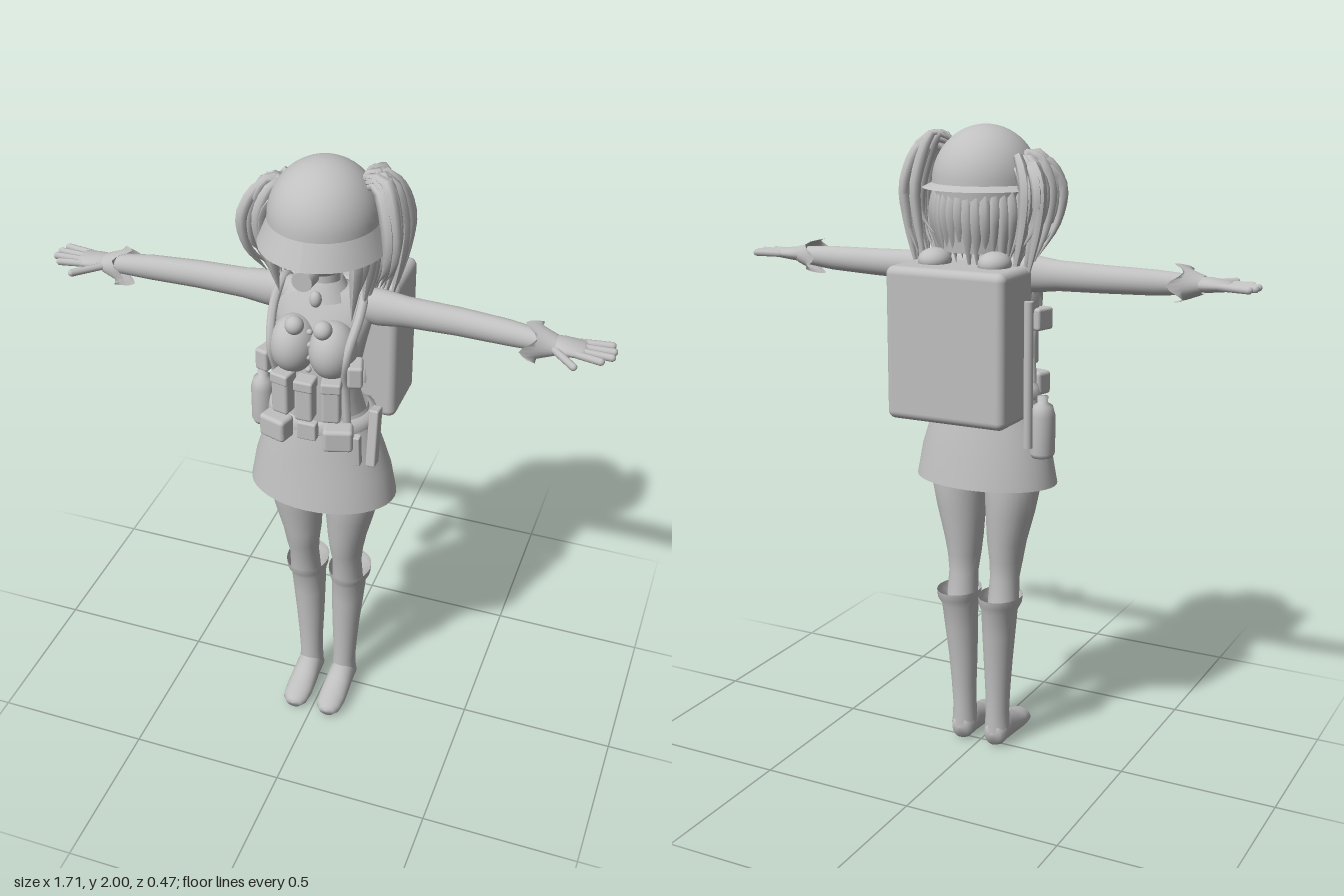
import * as THREE from 'three';
import { RoundedBoxGeometry } from 'three/addons/geometries/RoundedBoxGeometry.js';

const grey = new THREE.MeshStandardMaterial({ color: 0xc0c0c0, side: THREE.DoubleSide });
grey.name = 'plain grey';

// Small seeded generator for the hair
let seed = 7;
const rand = (a, b) => {
  seed = (seed * 16807) % 2147483647;
  return a + (b - a) * (seed / 2147483647);
};

// Smooth skin over elliptical rings [t, rx, rz, cx, cz] stacked along y
function loft(rings, n = 28) {
  const pos = [], idx = [];
  const sorted = [...rings].sort((a, b) => a[0] - b[0]);
  for (const [t, rx, rz, cx = 0, cz = 0] of sorted)
    for (let j = 0; j < n; j++) {
      const a = (j / n) * Math.PI * 2;
      pos.push(cx + rx * Math.cos(a), t, cz + rz * Math.sin(a));
    }
  for (let i = 0; i < sorted.length - 1; i++)
    for (let j = 0; j < n; j++) {
      const a = i * n + j, b = i * n + ((j + 1) % n);
      idx.push(a, a + n, b, b, a + n, b + n);
    }
  const g = new THREE.BufferGeometry();
  g.setAttribute('position', new THREE.Float32BufferAttribute(pos, 3));
  g.setIndex(idx);
  g.computeVertexNormals();
  return g;
}

// Mirror a geometry in x, keeping its faces outward
function mirrored(g) {
  g.scale(-1, 1, 1);
  const old = g.index ? Array.from(g.index.array) : [...Array(g.attributes.position.count).keys()];
  for (let i = 0; i < old.length; i += 3) [old[i], old[i + 1]] = [old[i + 1], old[i]];
  g.setIndex(old);
  g.computeVertexNormals();
  return g;
}

const curveOf = (pts) => new THREE.CatmullRomCurve3(pts.map((p) => new THREE.Vector3(...p)));
const tube = (pts, r, seg = 20) => new THREE.TubeGeometry(curveOf(pts), seg, r, 8);
const ball = (r, x, y, z, sx = 1, sy = 1, sz = 1) =>
  new THREE.SphereGeometry(r, 24, 16).scale(sx, sy, sz).translate(x, y, z);
const box = (w, h, d, x, y, z, tilt = 0, turn = 0) =>
  new RoundedBoxGeometry(w, h, d, 3, Math.min(w, h, d) * 0.2).rotateX(tilt).rotateY(turn).translate(x, y, z);
const rod = (r, h, x, y, z) => new THREE.CylinderGeometry(r, r, h, 20).translate(x, y, z);

// Tapered lock of hair
function lock(pts, r) {
  const seg = 14, sides = 6, curve = curveOf(pts);
  const g = new THREE.TubeGeometry(curve, seg, r, sides);
  const p = g.attributes.position;
  for (let i = 0; i <= seg; i++) {
    const c = curve.getPointAt(i / seg), k = 0.04 + Math.sin(Math.PI * Math.pow(i / seg, 0.7)) * 0.96;
    for (let j = 0; j <= sides; j++) {
      const q = i * (sides + 1) + j;
      p.setXYZ(q, c.x + (p.getX(q) - c.x) * k, c.y + (p.getY(q) - c.y) * k, c.z + (p.getZ(q) - c.z) * k);
    }
  }
  g.computeVertexNormals();
  return g;
}

export function createModel() {
  const model = new THREE.Group();
  const add = (name, g) => {
    const m = new THREE.Mesh(g, grey);
    m.name = name;
    model.add(m);
  };
  const pair = (name, make) => {
    add(name + 'Left', make());
    add(name + 'Right', mirrored(make()));
  };

  // Helmet: dome with a flared brim that drops lower in front
  const dome = [];
  for (let i = 0; i <= 14; i++) {
    const a = (i / 14) * Math.PI / 2;
    dome.push(new THREE.Vector2(0.168 * Math.sin(a), 1.83 + 0.17 * Math.cos(a)));
  }
  add('helmetDome', new THREE.LatheGeometry(dome.reverse(), 40).scale(0.96, 1, 1).translate(0, 0, 0.03));
  const brim = new THREE.CylinderGeometry(0.168, 0.2, 0.06, 40, 1, true);
  const bp = brim.attributes.position;
  for (let i = 0; i < bp.count; i++) {
    const front = THREE.MathUtils.smoothstep(bp.getZ(i), -0.08, 0.03);
    bp.setY(i, bp.getY(i) > 0 ? 1.83 : 1.815 - 0.06 * front);
  }
  brim.computeVertexNormals();
  add('helmetBrim', brim.scale(0.95, 1, 1).translate(0, 0, 0.03));

  // Head, mouthpiece and neck
  add('head', ball(0.14, 0, 1.79, 0.04, 0.84, 0.95, 0.92));
  add('mouthpiece', new THREE.CylinderGeometry(0.03, 0.034, 0.05, 20).rotateX(Math.PI / 2).translate(0, 1.715, 0.19));
  add('neck', rod(0.045, 0.14, 0, 1.64, 0.025));
  add('collar', loft([[1.585, 0.085, 0.07, 0, 0.035], [1.64, 0.055, 0.05, 0, 0.03]]));

  // Back hair and loose locks around the face
  add('backHair', new THREE.CylinderGeometry(0.155, 0.135, 0.2, 28, 2, true, Math.PI * 0.5, Math.PI)
    .translate(0, 1.73, 0.02));
  for (let i = 0; i < 26; i++) {
    const a = Math.PI * (0.3 + (1.4 * i) / 25);
    const x = Math.sin(a), z = Math.cos(a), low = rand(1.55, 1.63);
    add('hairLock', lock([[x * 0.14, 1.84, 0.03 + z * 0.14], [x * 0.155, 1.74, 0.03 + z * 0.15],
      [x * 0.135, low, 0.03 + z * 0.13]], 0.02));
  }

  // Pigtails arching out of the helmet sides
  for (const s of [1, -1])
    for (let i = 0; i < 26; i++) {
      const z = rand(-0.075, 0.085), out = rand(0.17, 0.225), low = rand(1.5, 1.68);
      const top = (s > 0 ? 1.98 : 1.92) - rand(0, 0.04);
      add(s > 0 ? 'pigtailLeft' : 'pigtailRight', lock([
        [s * 0.1, top - 0.03, 0.01], [s * (out - 0.045), top, z * 0.5 + 0.005], [s * out, 1.83, z],
        [s * (out - 0.005), 1.72, z * 0.95 - 0.005], [s * (out - 0.045), low, z * 0.6 - 0.03]], 0.019));
    }

  // Jacket body
  add('torso', loft([[1.62, 0.04, 0.04, 0, 0.03], [1.61, 0.1, 0.05, 0, 0.025], [1.58, 0.155, 0.06, 0, 0.025],
    [1.52, 0.15, 0.08, 0, 0.04], [1.45, 0.135, 0.095, 0, 0.05], [1.35, 0.115, 0.095, 0, 0.055],
    [1.26, 0.12, 0.1, 0, 0.055], [1.15, 0.15, 0.11, 0, 0.045]]));
  pair('bust', () => ball(0.075, 0.06, 1.455, 0.125, 0.95, 1.2, 1.05));
  pair('pompom', () => ball(0.028, 0.043, 1.54, 0.165));
  add('neckBow', ball(0.018, 0, 1.6, 0.105, 1, 1.4, 1));
  for (let i = 0; i < 4; i++) add('button', ball(0.009, 0, 1.52 - i * 0.04, 0.155 + i * 0.004));

  // Skirt
  add('skirt', loft([[1.22, 0.14, 0.105, 0, 0.045], [1.15, 0.168, 0.117, 0, 0.045], [1.08, 0.192, 0.13, 0, 0.042],
    [1.0, 0.217, 0.143, 0, 0.04], [0.9, 0.235, 0.16, 0, 0.04]], 40));

  // Belt and harness
  add('belt', loft([[1.17, 0.166, 0.122, 0, 0.045], [1.175, 0.172, 0.127, 0, 0.045], [1.205, 0.166, 0.122, 0, 0.045],
    [1.21, 0.14, 0.11, 0, 0.045]], 36));
  add('beltBuckle', box(0.06, 0.06, 0.03, 0, 1.195, 0.18));
  pair('beltPouch', () => box(0.09, 0.075, 0.06, 0.097, 1.193, 0.185, 0, 0.3));
  pair('harnessStrap', () => tube([[0.11, 1.2, 0.14], [0.105, 1.35, 0.145], [0.115, 1.46, 0.17], [0.13, 1.56, 0.1],
    [0.125, 1.61, 0.02], [0.12, 1.52, -0.05], [0.1, 1.25, -0.045]], 0.014, 36));
  for (const x of [-0.075, 0, 0.075]) {
    add('chestPouch', box(0.056, 0.135, 0.05, x, 1.317, 0.195 - Math.abs(x) * 0.2, 0, x * 3));
    add('chestPouchFlap', box(0.06, 0.035, 0.056, x, 1.37, 0.195 - Math.abs(x) * 0.2, 0, x * 3));
  }
  pair('sidePouch', () => box(0.045, 0.07, 0.07, 0.135, 1.405, 0.145, 0, 0.3));
  add('sheath', box(0.03, 0.19, 0.045, 0.18, 1.155, 0.095, -0.15));
  add('smallSheath', box(0.02, 0.11, 0.025, 0.145, 1.13, 0.145, 0.1));

  // Arms, gauntlets and hands, laid along x
  pair('arm', () => loft([[0.1, 0.05, 0.045, 0, 0.025], [0.17, 0.056, 0.045, 0, 0.025], [0.25, 0.046, 0.04, 0, 0.025],
    [0.4, 0.042, 0.038, 0, 0.025], [0.55, 0.038, 0.035, 0, 0.035], [0.68, 0.027, 0.028, 0, 0.05]], 24)
    .rotateZ(-Math.PI / 2).translate(0, 1.563, 0));
  pair('gauntletCuff', () => {
    const g = loft([[0.62, 0.056, 0.068, 0, 0.056], [0.64, 0.046, 0.052, 0, 0.054], [0.69, 0.027, 0.034, 0, 0.055]], 24);
    const p = g.attributes.position;
    for (let j = 0; j < 24; j++) p.setY(j, 0.62 + 0.022 * Math.cos((j / 24) * Math.PI * 8 - Math.PI));
    g.computeVertexNormals();
    return g.rotateZ(-Math.PI / 2).translate(0, 1.563, 0);
  });
  pair('palm', () => loft([[0.65, 0, 0, 0, 0.05], [0.66, 0.024, 0.028, 0, 0.05], [0.71, 0.022, 0.042, 0, 0.055],
    [0.765, 0.015, 0.043, 0, 0.055], [0.78, 0, 0, 0, 0.055]], 20).rotateZ(-Math.PI / 2).translate(0, 1.565, 0));
  const fingers = [[0.755, 0.022, 0.84, 0.01], [0.765, 0.044, 0.85, 0.04], [0.765, 0.066, 0.85, 0.07],
    [0.755, 0.086, 0.825, 0.1], [0.69, 0.08, 0.76, 0.15]];
  for (const [x0, z0, x1, z1] of fingers)
    pair('finger', () => {
      const len = Math.hypot(x1 - x0, z1 - z0);
      return new THREE.CapsuleGeometry(0.011, len, 5, 10).rotateZ(-Math.PI / 2).rotateY(-Math.atan2(z1 - z0, x1 - x0))
        .translate((x0 + x1) / 2 - 0.005, 1.565, (z0 + z1) / 2);
    });

  // Legs
  pair('leg', () => loft([[1.1, 0.085, 0.09, 0.09, 0.04], [0.9, 0.09, 0.095, 0.095, 0.035],
    [0.8, 0.078, 0.083, 0.087, 0.033], [0.7, 0.062, 0.07, 0.077, 0.03], [0.64, 0.053, 0.062, 0.075, 0.03],
    [0.58, 0.047, 0.05, 0.074, 0.022], [0.5, 0.05, 0.052, 0.074, 0.012]]));

  // Boots: flared shaft with rolled top, and foot laid along z
  pair('bootShaft', () => loft([[0.52, 0.05, 0.06, 0.073, -0.008], [0.53, 0.069, 0.084, 0.074, -0.01],
    [0.505, 0.067, 0.08, 0.074, -0.01], [0.48, 0.057, 0.066, 0.071, -0.01], [0.4, 0.053, 0.057, 0.068, -0.008],
    [0.3, 0.047, 0.048, 0.064, -0.004], [0.2, 0.041, 0.042, 0.062, -0.002], [0.12, 0.038, 0.041, 0.06, 0],
    [0.05, 0.042, 0.042, 0.06, 0]].filter((r) => r[0] !== 0.52)));
  pair('bootFoot', () => loft([[-0.042, 0, 0, 0.06, -0.045], [-0.038, 0.028, 0.035, 0.06, -0.045],
    [-0.015, 0.041, 0.05, 0.06, -0.05], [0.03, 0.043, 0.055, 0.06, -0.055], [0.08, 0.045, 0.043, 0.06, -0.043],
    [0.13, 0.046, 0.033, 0.06, -0.033], [0.17, 0.041, 0.029, 0.06, -0.029], [0.188, 0.026, 0.02, 0.06, -0.026],
    [0.193, 0, 0, 0.06, -0.026]]).rotateX(Math.PI / 2));

  // Backpack, shoulder pads, rod and flask
  add('backpack', new RoundedBoxGeometry(0.395, 0.465, 0.205, 4, 0.025).translate(0.005, 1.365, -0.138));
  pair('shoulderPad', () => ball(0.05, 0.1, 1.605, -0.11, 1, 0.75, 1.1));
  add('rod', rod(0.014, 0.44, -0.23, 1.29, -0.147));
  add('flask', loft([[1.02, 0, 0], [1.022, 0.032, 0.036], [1.035, 0.038, 0.042], [1.15, 0.038, 0.042],
    [1.18, 0.03, 0.034], [1.19, 0.016, 0.016], [1.21, 0.016, 0.016], [1.211, 0, 0]]).translate(-0.236, 0, -0.055));
  return model;
}
